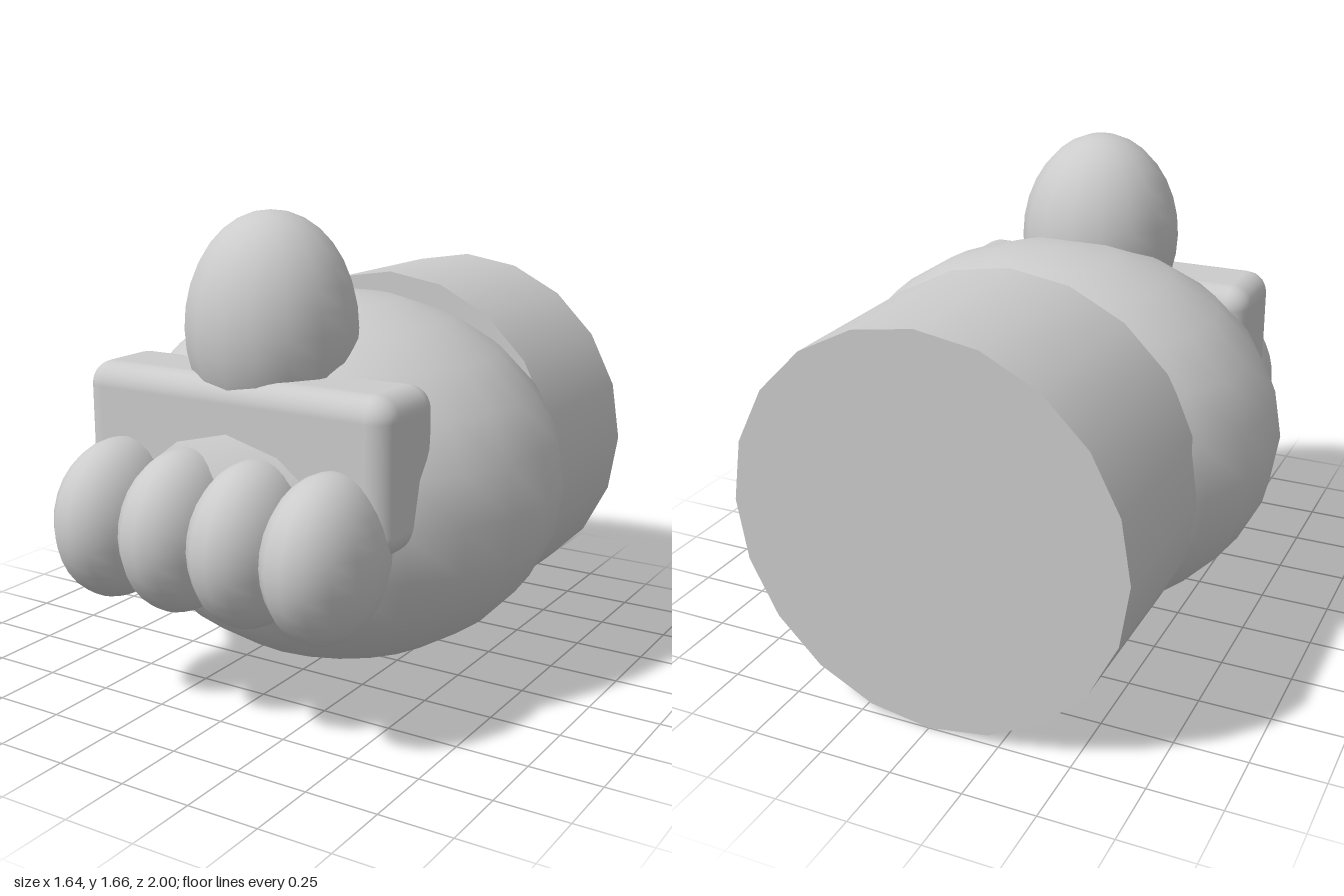
import * as THREE from 'three';
import { RoundedBoxGeometry } from 'three/addons/geometries/RoundedBoxGeometry.js';

export function createModel() {
  const model = new THREE.Group();
  model.name = 'fist';
  const material = new THREE.MeshStandardMaterial({ color: 0xcccccc });

  const add = (name, geometry, x, y, z) => {
    const mesh = new THREE.Mesh(geometry, material);
    mesh.name = name;
    mesh.position.set(x, y, z);
    model.add(mesh);
    return mesh;
  };
  const ellipsoid = (rx, ry, rz, around, rows) =>
    new THREE.SphereGeometry(1, around, rows).scale(rx, ry, rz);

  // Main body of the hand
  add('palm', ellipsoid(0.82, 0.66, 0.77, 24, 12), 0, 0.69, 0);

  // Wide capped cuff behind the palm
  const cuff = new THREE.CylinderGeometry(0.687, 0.687, 0.64, 20).rotateX(Math.PI / 2);
  add('cuff', cuff, 0, 0.688, -0.68);

  // Rounded block forming the knuckles
  add('knuckles', new RoundedBoxGeometry(1.19, 0.52, 0.33, 4, 0.08), 0, 0.89, 0.525);

  // Thumb standing on top
  add('thumb', ellipsoid(0.29, 0.38, 0.29, 16, 16), 0, 1.285, 0.42);

  // Row of four curled fingers
  for (let i = 0; i < 4; i++) {
    add(`finger${i + 1}`, ellipsoid(0.182, 0.273, 0.26, 16, 16), (i - 1.5) * 0.275, 0.643, 0.738);
  }
  return model;
}
